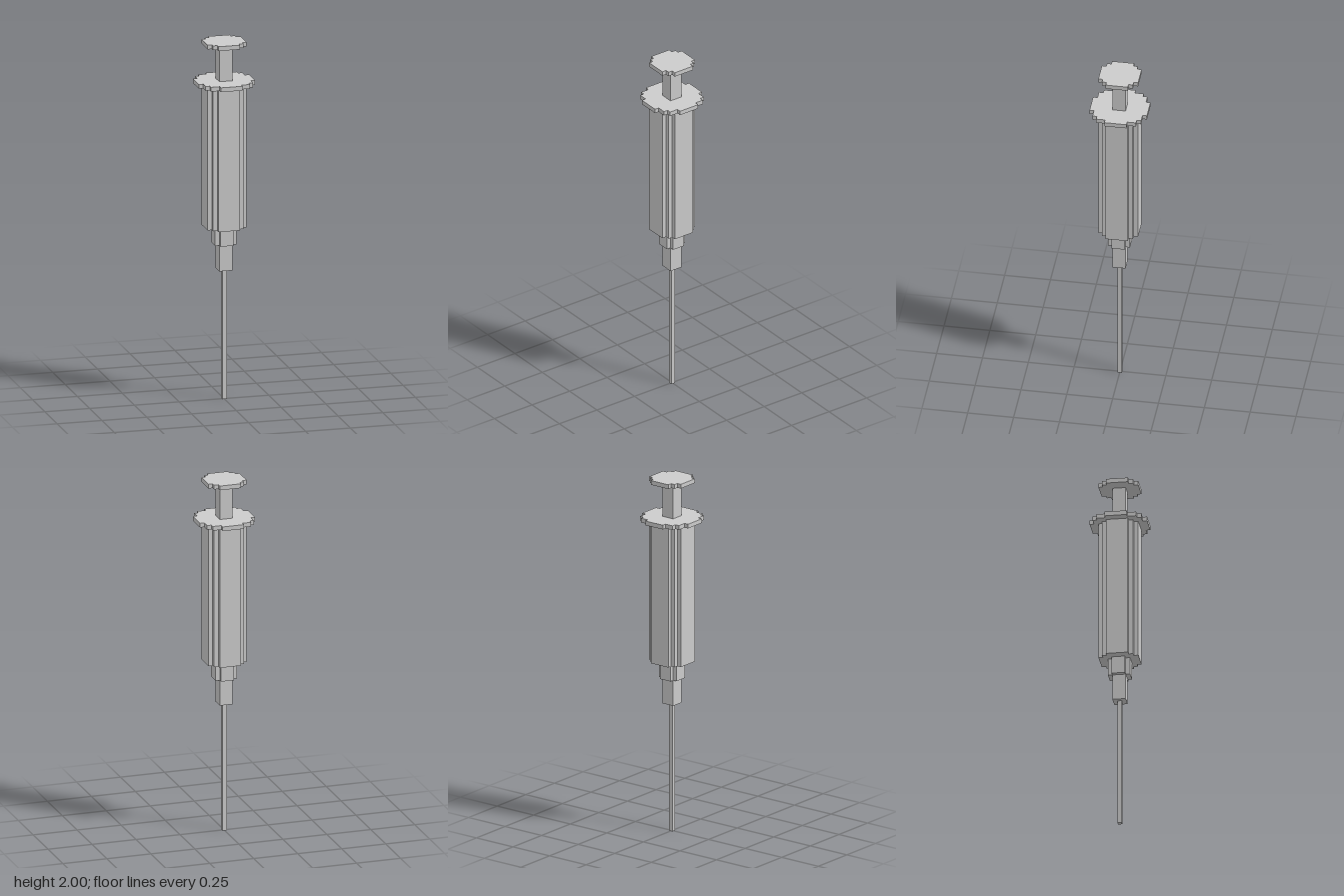
import * as THREE from 'three';

const U = 2 / 83; // size of one block
const material = new THREE.MeshStandardMaterial({ color: 0xcccccc, flatShading: true });

// Stepped outline, mirrored into four quadrants.
// steps: [halfX, halfZ] corners of one quadrant, from the x axis to the z axis, in blocks.
function steppedShape(steps) {
  const quadrant = [];
  steps.forEach(([x, z], i) => {
    if (i > 0) quadrant.push([x, steps[i - 1][1]]);
    quadrant.push([x, z]);
  });
  const reversed = [...quadrant].reverse();
  const points = [
    ...quadrant,
    ...reversed.map(([x, z]) => [-x, z]),
    ...quadrant.map(([x, z]) => [-x, -z]),
    ...reversed.map(([x, z]) => [x, -z]),
  ];
  return new THREE.Shape(points.map(([x, z]) => new THREE.Vector2(x * U, z * U)));
}

// Upright prism between two heights, in blocks
function prism(name, steps, bottom, top) {
  const geometry = new THREE.ExtrudeGeometry(steppedShape(steps), {
    depth: (top - bottom) * U,
    bevelEnabled: false,
  });
  geometry.rotateX(-Math.PI / 2);
  geometry.translate(0, bottom * U, 0);
  const mesh = new THREE.Mesh(geometry, material);
  mesh.name = name;
  return mesh;
}

export function createModel() {
  const group = new THREE.Group();
  group.name = 'syringe';

  // Cross-sections
  const thin = [[0.5, 0.5]];
  const square = [[1.5, 1.5]];
  const notched = [[2.5, 1.5], [1.5, 2.5]];
  const round = [[4.5, 2.5], [3.5, 3.5], [2.5, 4.5]];
  const wide = [[6.5, 2.5], [5.5, 4.5], [4.5, 5.5], [2.5, 6.5]];

  // Parts stacked from the needle tip to the thumb rest
  group.add(
    prism('needle', thin, 0, 30),
    prism('needleHub', square, 30, 36),
    prism('collar', notched, 36, 40),
    prism('barrel', round, 40, 73),
    prism('fingerFlange', wide, 73, 74),
    prism('plungerRod', square, 74, 82),
    prism('thumbRest', round, 82, 83),
  );
  return group;
}
